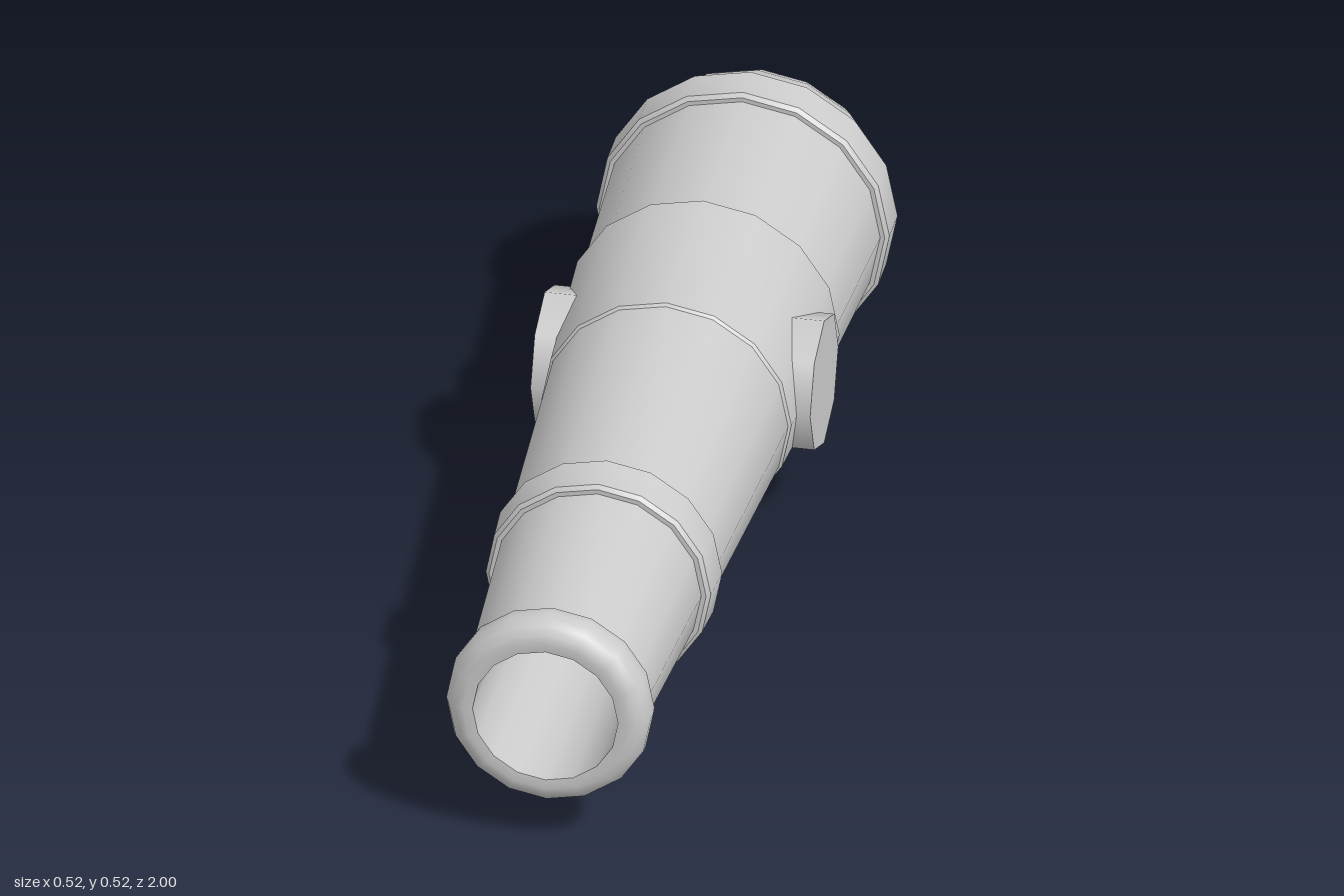
import * as THREE from 'three';
import { toCreasedNormals } from 'three/addons/utils/BufferGeometryUtils.js';

const SIDES = 16;
const AXIS_Y = 0.26;

export function createModel() {
  const cannon = new THREE.Group();
  cannon.name = 'cannonBarrel';
  const material = new THREE.MeshStandardMaterial({ color: 0xcccccc });

  function add(name, geometry) {
    const mesh = new THREE.Mesh(geometry, material);
    mesh.name = name;
    mesh.position.y = AXIS_Y;
    cannon.add(mesh);
    return mesh;
  }

  // Turned part along z; the profile is [radius, z], listed from back to front
  function turned(name, profile, smooth = false) {
    let g = new THREE.LatheGeometry(profile.map(([r, z]) => new THREE.Vector2(r, z)), SIDES);
    g.rotateX(Math.PI / 2);
    if (!smooth) g = toCreasedNormals(g, 0.6);
    return add(name, g);
  }

  // Raised ring with small bevels on both edges
  function band(name, zBack, zFront, rBack, rFront, rInner) {
    const b = 0.007;
    turned(name, [
      [rInner, zBack], [rBack - b, zBack], [rBack, zBack + b],
      [rFront, zFront - b], [rFront - b, zFront], [rInner, zFront],
    ]);
  }

  // Rear knob and its neck
  turned('rearKnob', [
    [0, -1], [0.075, -0.999], [0.09, -0.993], [0.097, -0.977],
    [0.09, -0.961], [0.075, -0.954], [0.056, -0.95], [0.056, -0.925],
  ], true);

  // Rounded breech
  turned('breechDome', [
    [0, -0.937], [0.08, -0.934], [0.13, -0.925], [0.175, -0.905],
    [0.208, -0.875], [0.23, -0.835], [0.246, -0.78],
  ], true);

  // Tapering tube sections
  turned('breechTube', [[0.246, -0.78], [0.243, -0.7], [0.228, -0.36]]);
  turned('middleTube', [[0.216, -0.06], [0.187, 0.47]]);
  turned('frontTube', [[0.187, 0.47], [0.16, 0.93]]);

  // Raised rings
  band('breechBand', -0.787, -0.703, 0.258, 0.258, 0.23);
  band('trunnionSleeve', -0.374, -0.042, 0.24, 0.22, 0.2);
  band('frontBand', 0.459, 0.546, 0.203, 0.198, 0.17);

  // Rounded muzzle lip
  turned('muzzleLip', [
    [0.155, 0.916], [0.17, 0.92], [0.179, 0.933], [0.181, 0.95],
    [0.18, 0.968], [0.173, 0.985], [0.16, 0.996], [0.145, 1], [0.128, 0.998],
  ], true);

  // Hollow bore with a rounded end
  turned('bore', [
    [0.128, 0.998], [0.124, 0.45], [0.115, 0.36], [0.09, 0.3], [0.05, 0.265], [0, 0.255],
  ], true);

  // Eight-sided side pivots
  for (const side of [1, -1]) {
    const g = new THREE.CylinderGeometry(0.122, 0.122, 0.106, 8);
    g.rotateZ(Math.PI / 2);
    const pivot = add(side > 0 ? 'leftTrunnion' : 'rightTrunnion', g);
    pivot.position.set(side * 0.193, AXIS_Y, -0.205);
  }

  return cannon;
}
